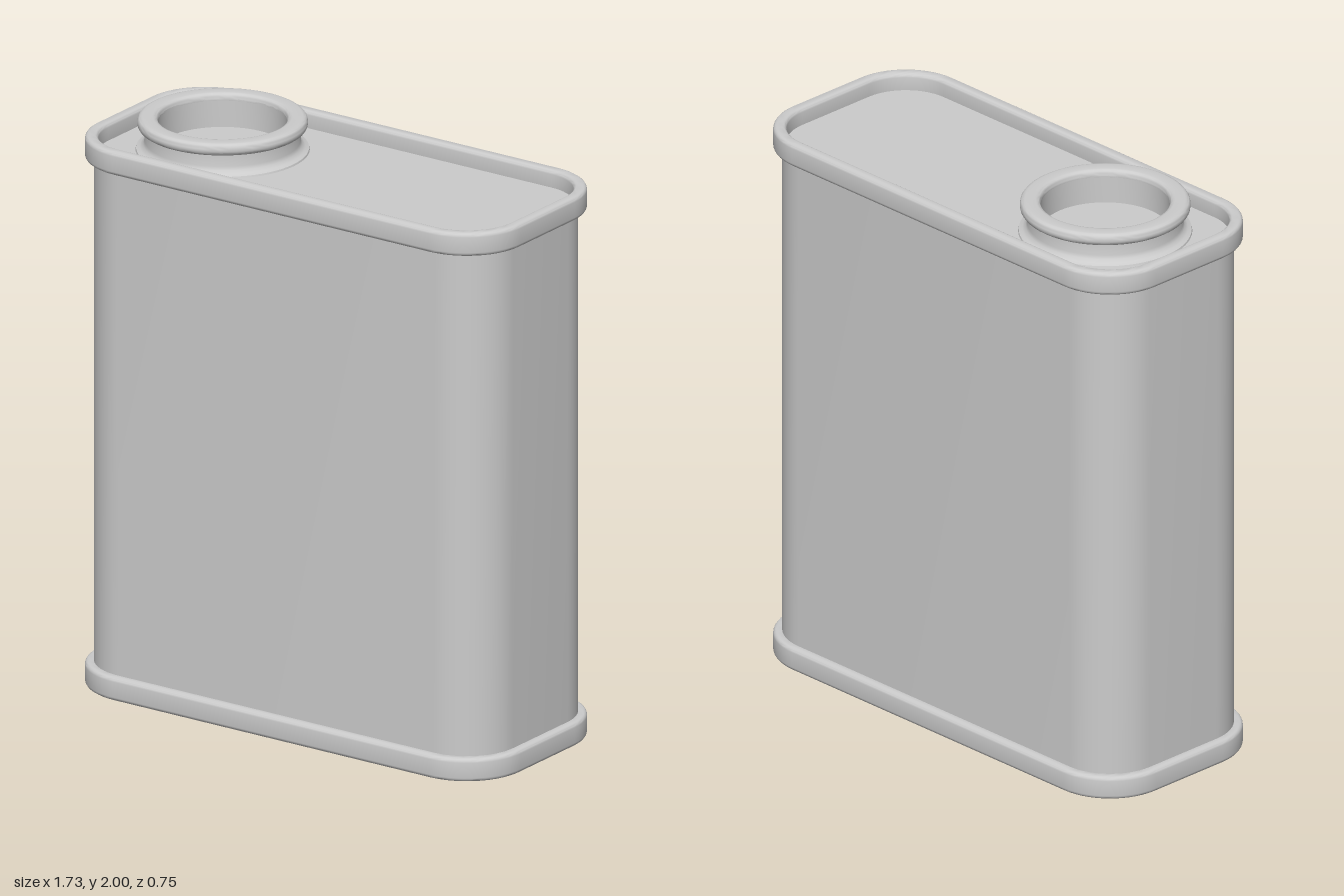
import * as THREE from 'three';
import { toCreasedNormals } from 'three/addons/utils/BufferGeometryUtils.js';

const HALF_X = 0.835, HALF_Z = 0.345, CORNER = 0.19, ARC = 14;

// Rounded rectangle outline of the can, grown outward by an offset
function outline(offset) {
  const r = CORNER + offset, pts = [];
  for (let q = 0; q < 4; q++) {
    const sx = q === 0 || q === 3 ? 1 : -1, sz = q < 2 ? 1 : -1;
    for (let i = 0; i <= ARC; i++) {
      const a = (q + i / ARC) * Math.PI / 2;
      pts.push(new THREE.Vector2(
        sx * (HALF_X - CORNER) + r * Math.cos(a),
        sz * (HALF_Z - CORNER) + r * Math.sin(a)));
    }
  }
  return pts;
}

// Carry a profile of [offset, y] points around the outline
function sweep(profile) {
  const pos = [], index = [], n = 4 * (ARC + 1);
  for (const [o, y] of profile) for (const p of outline(o)) pos.push(p.x, y, p.y);
  for (let k = 0; k < profile.length - 1; k++) {
    for (let j = 0; j < n; j++) {
      const a = k * n + j, b = k * n + (j + 1) % n;
      index.push(a, a + n, b, b, a + n, b + n);
    }
  }
  const g = new THREE.BufferGeometry();
  g.setAttribute('position', new THREE.Float32BufferAttribute(pos, 3));
  g.setIndex(index);
  return toCreasedNormals(g, 0.7);
}

// Closed counter-clockwise rectangle with rounded corners, as [x, y] points
function roundedProfile(x0, x1, y0, y1, r) {
  const pts = [];
  [[x1 - r, y0 + r, -1], [x1 - r, y1 - r, 0], [x0 + r, y1 - r, 1], [x0 + r, y0 + r, 2]]
    .forEach(([cx, cy, q]) => {
      for (let i = 0; i <= 4; i++) {
        const a = (q + i / 4) * Math.PI / 2;
        pts.push([cx + r * Math.cos(a), cy + r * Math.sin(a)]);
      }
    });
  pts.push(pts[0]);
  return pts;
}

export function createModel() {
  const group = new THREE.Group();
  const material = new THREE.MeshStandardMaterial({ color: 0xcccccc });
  const add = (name, geometry, x = 0, y = 0) => {
    const mesh = new THREE.Mesh(geometry, material);
    mesh.name = name;
    mesh.position.set(x, y, 0);
    group.add(mesh);
  };
  const lathe = pts => toCreasedNormals(
    new THREE.LatheGeometry(pts.map(p => new THREE.Vector2(...p)), 64), 0.7);

  // Can walls and the rolled seams at both ends
  add('body', sweep([[0, 0.04], [0, 1.9]]));
  add('bottomRim', sweep(roundedProfile(-0.015, 0.03, 0, 0.082, 0.014)));
  add('topRim', sweep(roundedProfile(-0.015, 0.03, 1.86, 1.942, 0.014)));

  // Recessed end panels
  const panel = new THREE.ShapeGeometry(new THREE.Shape(outline(-0.005)));
  add('topPanel', panel.clone().rotateX(-Math.PI / 2), 0, 1.882);
  add('bottomPanel', panel.clone().rotateX(Math.PI / 2), 0, 0.06);

  // Neck flaring into the top panel, with a rounded lip and open mouth
  const neckX = -0.463;
  add('neck', lathe([
    [0.29, 1.882], [0.288, 1.888], [0.275, 1.893], [0.264, 1.902], [0.26, 1.915], [0.26, 1.965],
  ]), neckX);
  add('lip', lathe(roundedProfile(0.215, 0.284, 1.957, 2, 0.018)), neckX);
  add('mouthWall', lathe([[0.215, 1.982], [0.215, 1.882]]), neckX);
  return group;
}
